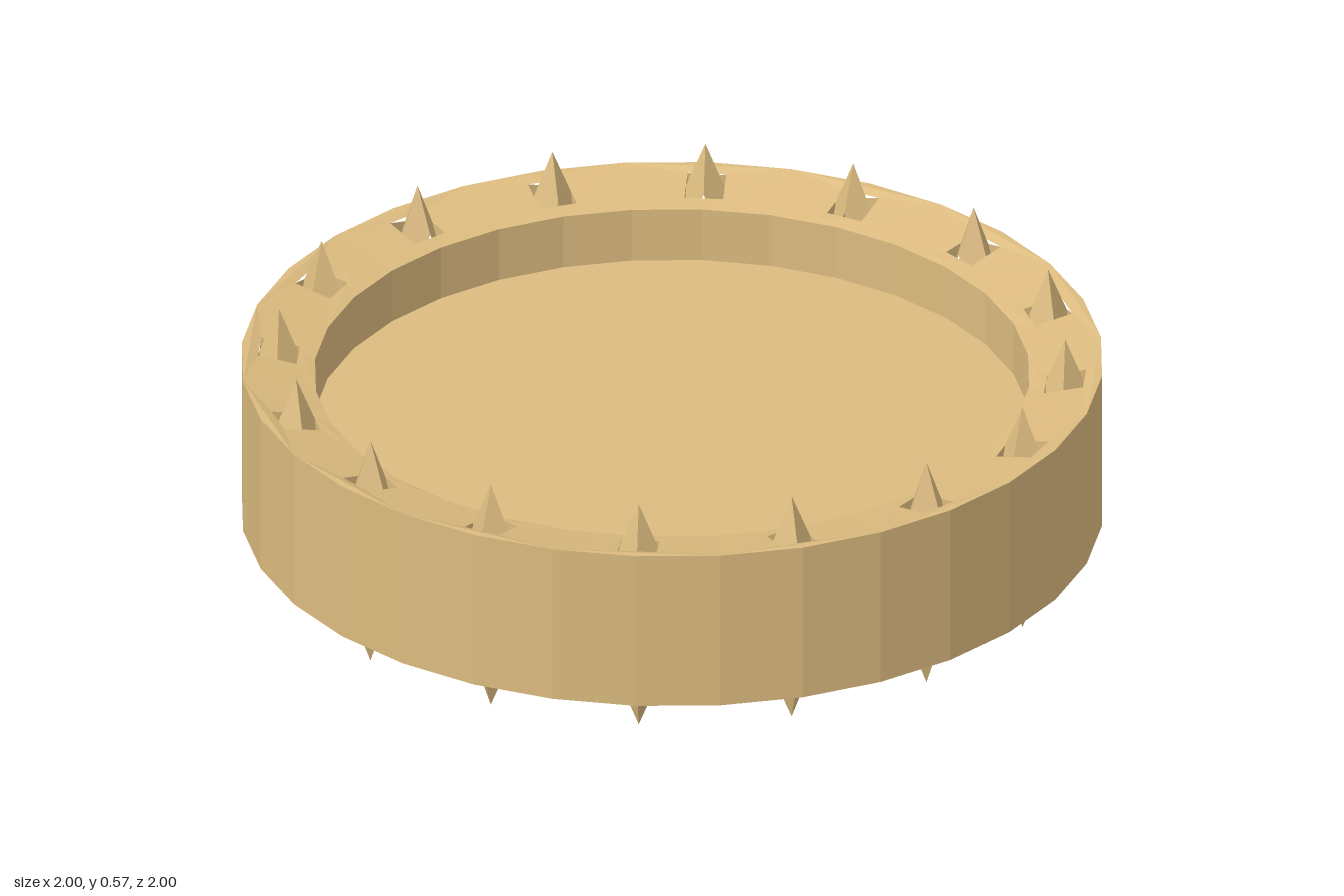
import * as THREE from 'three';

const SIDES = 32, SPIKES = 16;
const INNER = 0.83, HALF = 0.195, DROP = 0.036; // hole radius, half height, inward slope of rim
const FLOOR = 0.027, TIP = 0.287, MID = 0.29;   // half floor thickness, spike tip, centre height
const SPIKE_R = 0.914, A = 0.045;               // spike circle radius, half width of a spike

const rimY = (x, z) => HALF - DROP * (1 - Math.hypot(x, z)) / (1 - INNER);

// One sixteenth of the sloping rim, with a square socket cut out
function rimSector() {
  const step = Math.PI / SPIKES;
  const at = (r, t) => new THREE.Vector2(r * Math.sin(t), r * Math.cos(t));
  const shape = new THREE.Shape([
    at(1, step), at(1, 0), at(1, -step), at(INNER, -step), at(INNER, 0), at(INNER, step),
  ]);
  shape.holes.push(new THREE.Path([[-A, -A], [A, -A], [A, A], [-A, A]]
    .map(([x, y]) => new THREE.Vector2(x, SPIKE_R + y))));
  const geo = new THREE.ShapeGeometry(shape).rotateX(-Math.PI / 2);
  const p = geo.attributes.position;
  for (let i = 0; i < p.count; i++) p.setY(i, rimY(p.getX(i), p.getZ(i)));
  geo.computeVertexNormals();
  return geo;
}

// Four kite faces meeting at the tip, and the socket walls around them
function spikeGeometry() {
  const shoulder = rimY(0, SPIKE_R), low = 2 * shoulder - TIP;
  const pos = [], index = [];
  for (let q = 0; q < 4; q++) {
    const turn = (x, z) => {
      for (let i = 0; i < q; i++) [x, z] = [z, -x];
      return [x, z - SPIKE_R];
    };
    const add = (x, y, z) => {
      const [tx, tz] = turn(x, z);
      pos.push(tx, y ?? rimY(tx, tz), tz);
    };
    add(0, TIP, 0);
    add(0, shoulder, A);
    add(A, low, A);
    add(A, shoulder, 0);
    add(A, null, A);
    const b = q * 5;
    index.push(b, b + 1, b + 2, b, b + 2, b + 3);         // kite
    index.push(b + 3, b + 2, b + 4, b + 1, b + 4, b + 2); // socket walls
  }
  const geo = new THREE.BufferGeometry();
  geo.setAttribute('position', new THREE.Float32BufferAttribute(pos, 3));
  geo.setIndex(index);
  geo.computeVertexNormals();
  return geo;
}

export function createModel() {
  const tan = new THREE.MeshStandardMaterial({ color: 0xdcbb7f, flatShading: true });
  tan.name = 'tan';
  const model = new THREE.Group();
  model.name = 'spikedRing';

  const mesh = (name, geo, parent) => {
    const m = new THREE.Mesh(geo, tan);
    m.name = name;
    parent.add(m);
    return m;
  };
  const lathe = (pts) => new THREE.LatheGeometry(pts.map(([x, y]) => new THREE.Vector2(x, y)), SIDES);

  // Outer wall
  mesh('outerWall', lathe([[1, -HALF], [1, HALF]]), model).position.y = MID;

  // Upper and lower halves are the same, one turned over
  const recess = lathe([[INNER, HALF - DROP], [INNER, FLOOR], [0, FLOOR]]);
  const sector = rimSector(), spike = spikeGeometry();
  for (const name of ['upperHalf', 'lowerHalf']) {
    const half = new THREE.Group();
    half.name = name;
    half.position.y = MID;
    if (name === 'lowerHalf') half.rotation.x = Math.PI;
    mesh('innerWallAndFloor', recess, half);
    for (let i = 0; i < SPIKES; i++) {
      const angle = i * 2 * Math.PI / SPIKES;
      mesh('rim', sector, half).rotation.y = angle;
      mesh('spike', spike, half).rotation.y = angle;
    }
    model.add(half);
  }
  return model;
}
